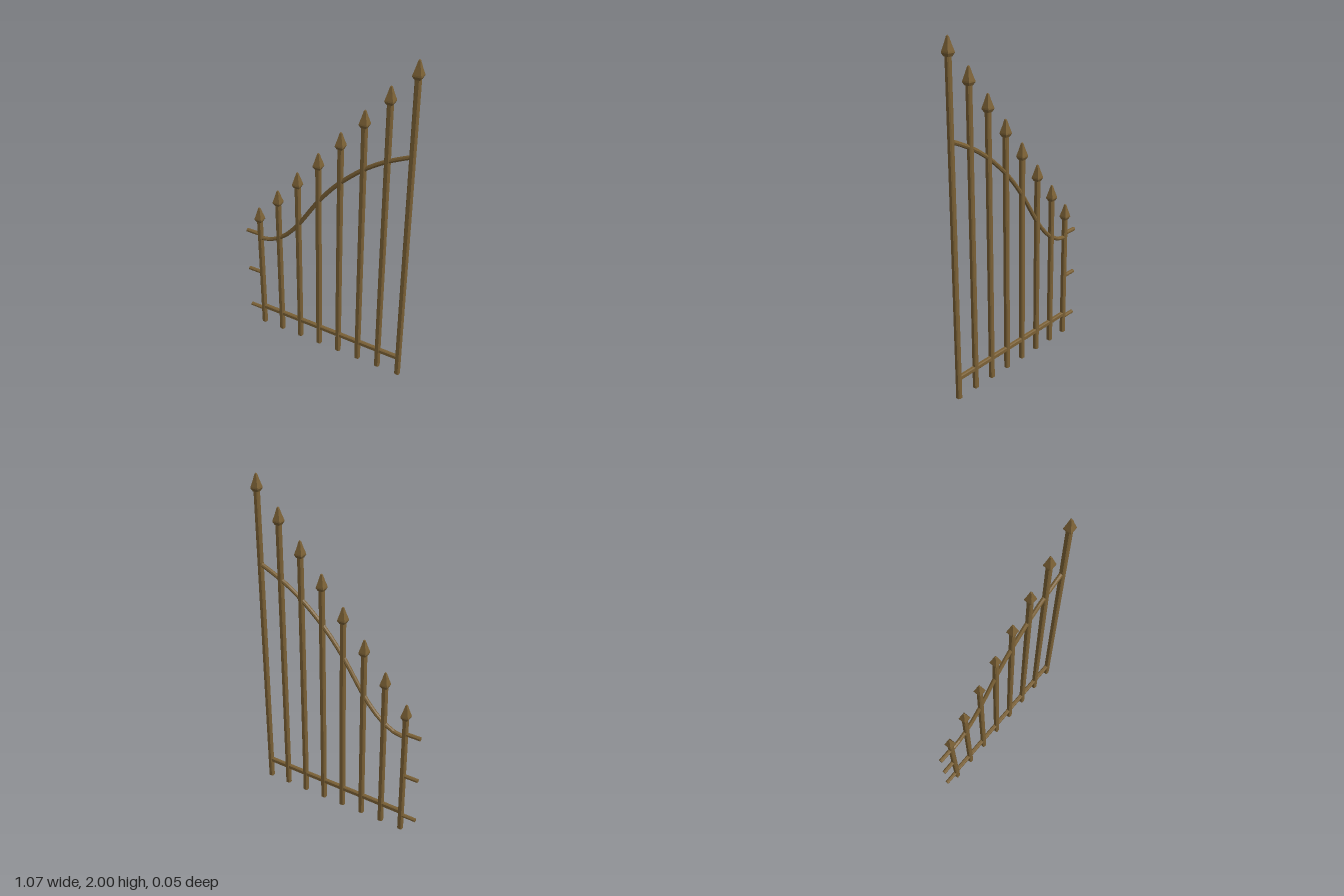
import * as THREE from 'three';

export function createModel() {
  const gate = new THREE.Group();
  gate.name = 'gateLeaf';
  const bronze = new THREE.MeshStandardMaterial({ color: 0x7a6035 });
  bronze.name = 'bronze';

  function add(parent, geometry, name, x = 0, y = 0, z = 0) {
    const flat = geometry.index ? geometry.toNonIndexed() : geometry;
    flat.computeVertexNormals();
    const mesh = new THREE.Mesh(flat, bronze);
    mesh.name = name;
    mesh.position.set(x, y, z);
    parent.add(mesh);
    return mesh;
  }

  // Square bar section with chamfered corners
  function barSection(w, h, c) {
    const a = w / 2, b = h / 2;
    return new THREE.Shape([
      [a, -b + c], [a, b - c], [a - c, b], [-a + c, b],
      [-a, b - c], [-a, -b + c], [-a + c, -b], [a - c, -b],
    ].map(([x, y]) => new THREE.Vector2(x, y)));
  }

  // Four-sided spear head, profile as [half width, y below the tip]
  const headProfile = [
    [0, -0.1], [0.015, -0.1], [0.0235, -0.083], [0.0225, -0.075],
    [0.013, -0.04], [0.005, -0.006], [0, 0],
  ].map(([r, y]) => new THREE.Vector2(r * Math.SQRT2, y));

  const first = -0.443, last = 0.511, count = 8;
  for (let i = 0; i < count; i++) {
    const x = first + (last - first) * i / (count - 1);
    const top = 0.88 + 0.16 * i;
    const picket = new THREE.Group();
    picket.name = 'picket' + (i + 1);
    picket.position.x = x;
    const bar = new THREE.ExtrudeGeometry(barSection(0.03, 0.03, 0.006),
      { depth: top - 0.095, bevelEnabled: false });
    bar.rotateX(-Math.PI / 2);
    add(picket, bar, 'bar');
    add(picket, new THREE.LatheGeometry(headProfile, 4, Math.PI / 4), 'spearHead', 0, top, 0);
    gate.add(picket);
  }

  // Straight bottom rail
  const rail = new THREE.ExtrudeGeometry(barSection(0.024, 0.03, 0.005),
    { depth: last - first, bevelEnabled: false });
  rail.rotateY(Math.PI / 2);
  add(gate, rail, 'bottomRail', first, 0.126, 0);

  // Curved top rail
  const path = new THREE.CatmullRomCurve3([
    [first, 0.66], [-0.36, 0.677], [-0.305, 0.708], [-0.24, 0.765], [-0.17, 0.85],
    [-0.033, 1.055], [0.06, 1.17], [0.103, 1.215], [0.24, 1.335], [0.375, 1.422], [last, 1.485],
  ].map(([x, y]) => new THREE.Vector3(x, y, 0)));
  add(gate, new THREE.TubeGeometry(path, 18, 0.0125, 8), 'curvedRail');

  // Hinge pins on the short side
  for (const y of [0.103, 0.395, 0.686]) {
    const pin = new THREE.CylinderGeometry(0.0125, 0.0125, 0.097, 8, 1);
    pin.rotateY(Math.PI / 8);
    pin.rotateZ(Math.PI / 2);
    add(gate, pin, 'hingePin', -0.4905, y, 0);
  }
  return gate;
}
